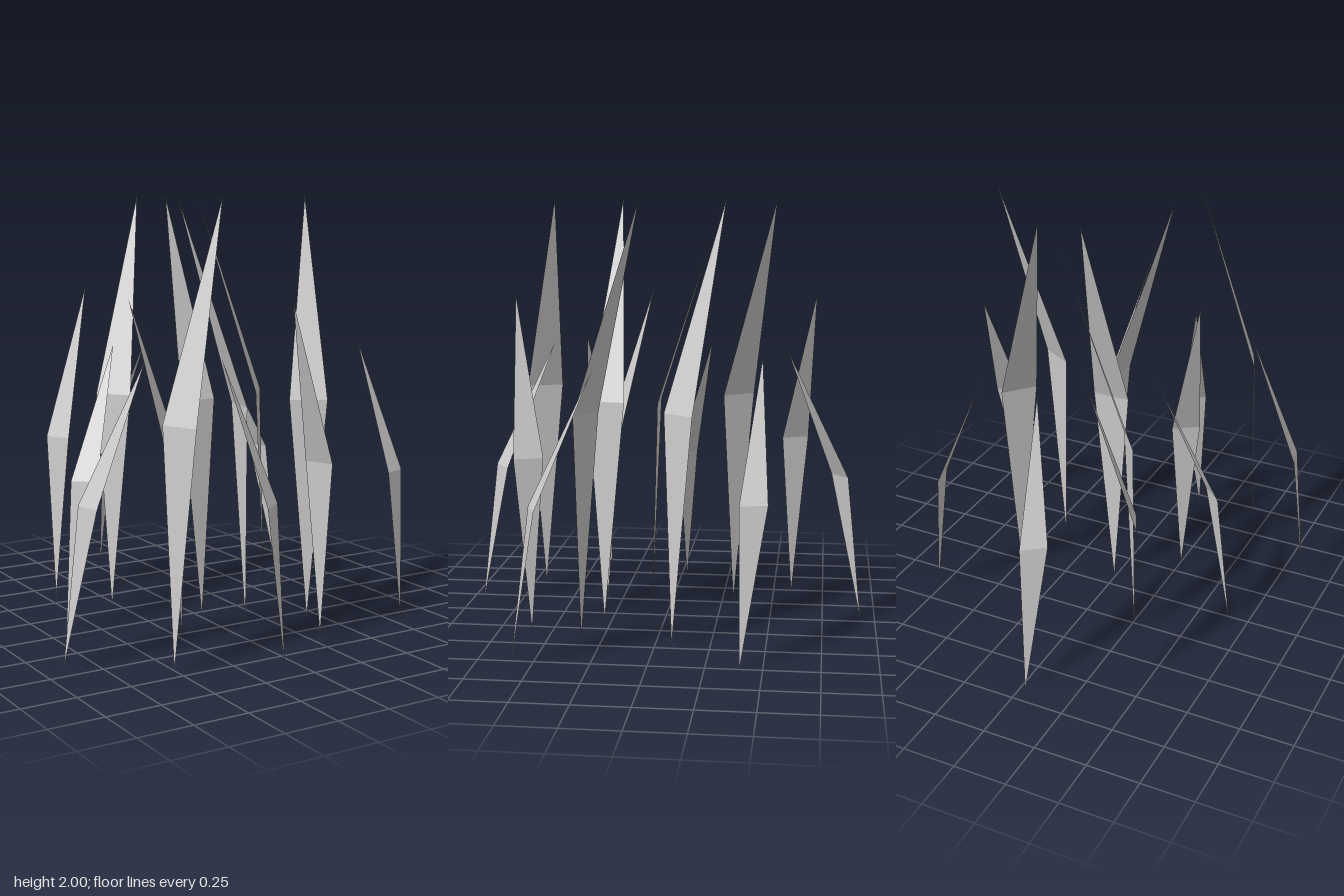
import * as THREE from 'three';

// A bent blade: root point at the origin, a fold line, and a tip leaning towards +z
function bladeGeometry(foldLeft, foldRight, tip) {
  const root = [0, 0, 0];
  const corners = [root, foldRight, foldLeft, foldLeft, foldRight, tip];
  const geometry = new THREE.BufferGeometry();
  geometry.setAttribute('position', new THREE.Float32BufferAttribute(corners.flat(), 3));
  geometry.computeVertexNormals();
  return geometry;
}

export function createModel() {
  const group = new THREE.Group();
  group.name = 'grassClump';
  const material = new THREE.MeshStandardMaterial({
    color: 0xcccccc, flatShading: true, side: THREE.DoubleSide,
  });

  const straight = bladeGeometry([0.09, 1.05, 0.038], [-0.09, 1.05, 0.038], [0, 2, 0.341]);
  const twisted = bladeGeometry([0.027, 0.7, 0.081], [-0.09, 0.7, 0.129], [0, 1.31, 0.376]);

  // Each placement: root x, root z, heading in degrees
  const kinds = [
    { name: 'tallBlade', geometry: straight, scale: 1, places: [
      [-0.285, -0.305, 128], [0.46, -0.075, -130], [0.005, 0.07, 180],
      [0.425, 0.345, 150], [0.115, 0.285, -99], [-0.51, 0.69, 112]] },
    { name: 'mediumBlade', geometry: straight, scale: 0.775, places: [
      [-0.452, -0.59, 115], [-0.255, 0.325, -145], [0.322, 0.595, -66.5]] },
    { name: 'shortBlade', geometry: twisted, scale: 1, places: [
      [-0.03, -0.932, 15.5], [0.762, -0.4, -101], [-0.665, -0.035, 115],
      [-0.105, 0.93, -165.5], [0.8, 0.59, 180], [-0.89, 0.4, 80]] },
  ];

  for (const { name, geometry, scale, places } of kinds) {
    for (const [x, z, heading] of places) {
      const blade = new THREE.Mesh(geometry, material);
      blade.name = name;
      blade.position.set(x, 0, z);
      blade.rotation.y = THREE.MathUtils.degToRad(heading);
      blade.scale.setScalar(scale);
      group.add(blade);
    }
  }
  return group;
}
